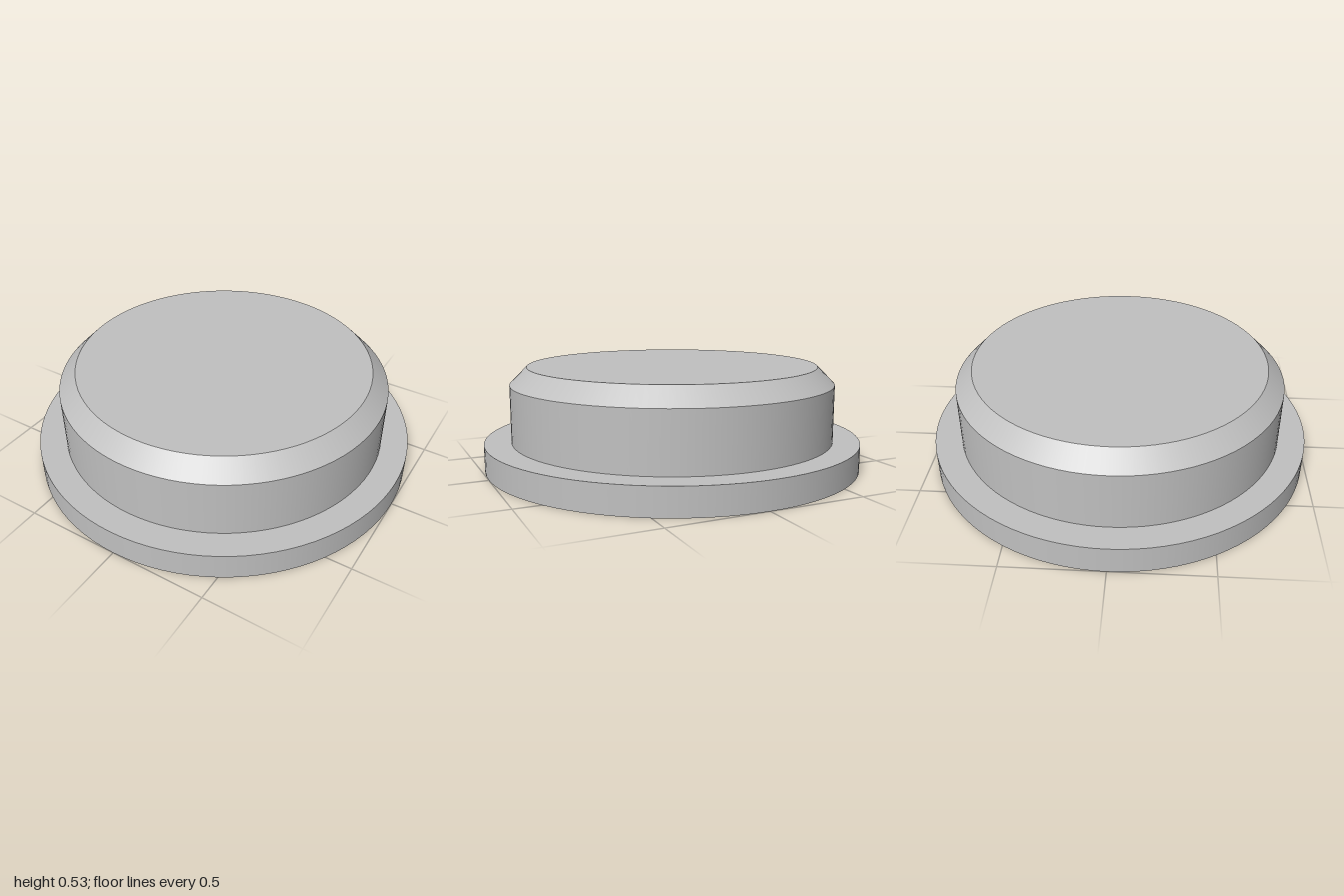
import * as THREE from 'three';

const SEGMENTS = 96;

export function createModel() {
  const model = new THREE.Group();
  model.name = 'flangedCap';

  const grey = new THREE.MeshStandardMaterial({ color: 0xc0c0c0 });
  grey.name = 'plain grey';

  // Each band of the profile is turned separately, so its edges stay sharp.
  // [name, start radius, start height, end radius, end height]
  const bands = [
    ['flangeUnderside', 0, 0, 1, 0],
    ['flangeRim', 1, 0, 1, 0.14],
    ['flangeShoulder', 1, 0.14, 0.86, 0.14],
    ['bodyWall', 0.86, 0.14, 0.86, 0.44],
    ['bodyChamfer', 0.86, 0.44, 0.77, 0.53],
    ['topFace', 0.77, 0.53, 0, 0.53],
  ];

  for (const [name, r0, y0, r1, y1] of bands) {
    const profile = [new THREE.Vector2(r0, y0), new THREE.Vector2(r1, y1)];
    const mesh = new THREE.Mesh(new THREE.LatheGeometry(profile, SEGMENTS), grey);
    mesh.name = name;
    model.add(mesh);
  }

  return model;
}
